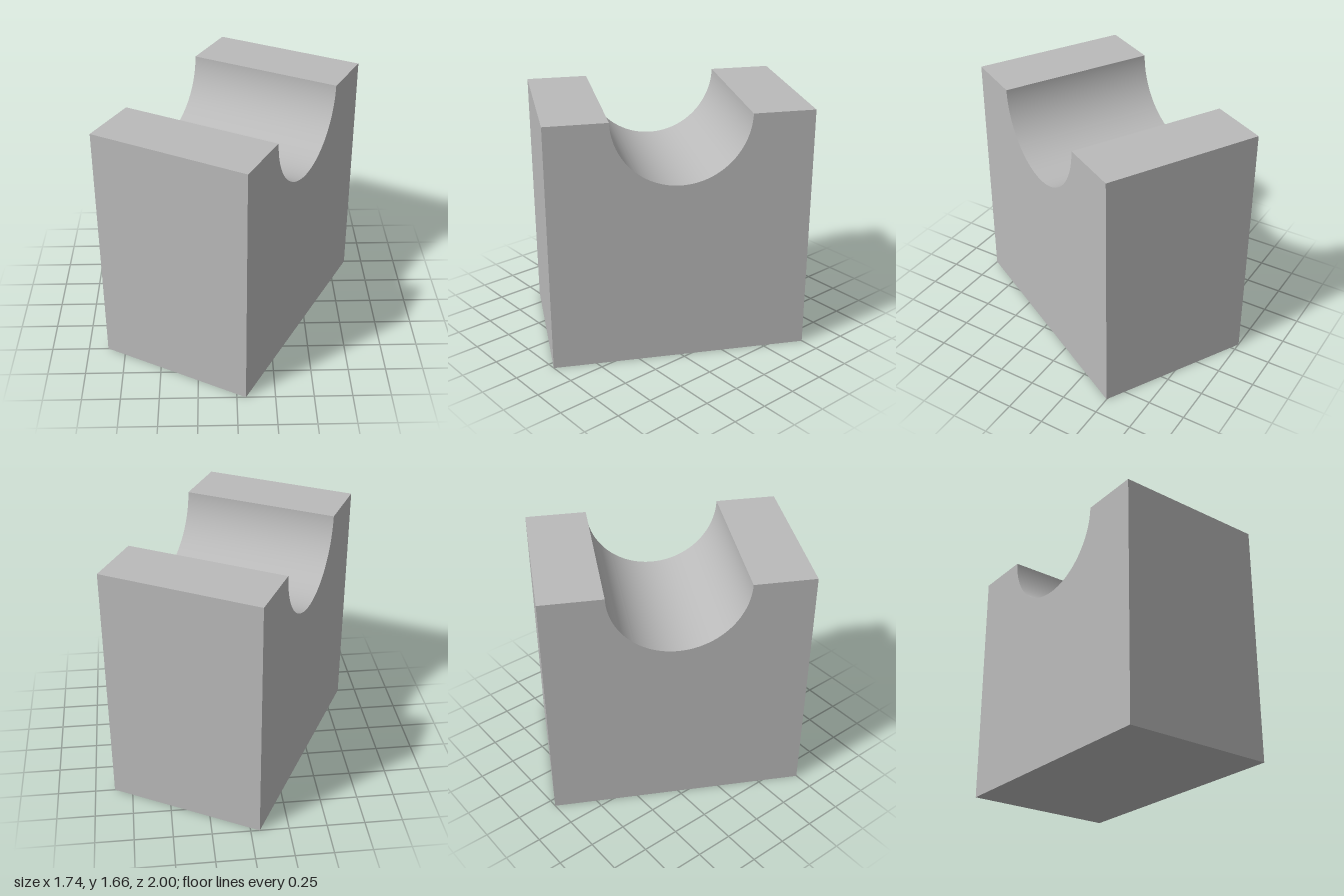
import * as THREE from 'three';
import { toCreasedNormals } from 'three/addons/utils/BufferGeometryUtils.js';

export function createModel() {
  const model = new THREE.Group();
  model.name = 'cradleBlock';
  const grey = new THREE.MeshStandardMaterial({ color: 0xbababa });
  grey.name = 'grey';

  const halfLength = 0.8525, thickness = 1.055, height = 1.66;
  const radius = 0.449, centreY = 1.671;
  const rim = Math.asin((centreY - height) / radius);

  // Block profile with a round channel cut into the top
  const profile = new THREE.Shape();
  profile.moveTo(-halfLength, 0);
  profile.lineTo(halfLength, 0);
  profile.lineTo(halfLength, height);
  profile.absarc(0, centreY, radius, -rim, -Math.PI + rim, true);
  profile.lineTo(-halfLength, height);
  profile.closePath();

  const extruded = new THREE.ExtrudeGeometry(profile, {
    depth: thickness, bevelEnabled: false, curveSegments: 64,
  });
  extruded.translate(0, 0, -thickness / 2);

  // Smooth channel, sharp block edges; one material for caps and sides
  const geometry = toCreasedNormals(extruded, 0.5);
  geometry.clearGroups();
  const block = new THREE.Mesh(geometry, grey);
  block.name = 'channelledBlock';
  block.rotation.y = THREE.MathUtils.degToRad(61.6);
  model.add(block);
  return model;
}
